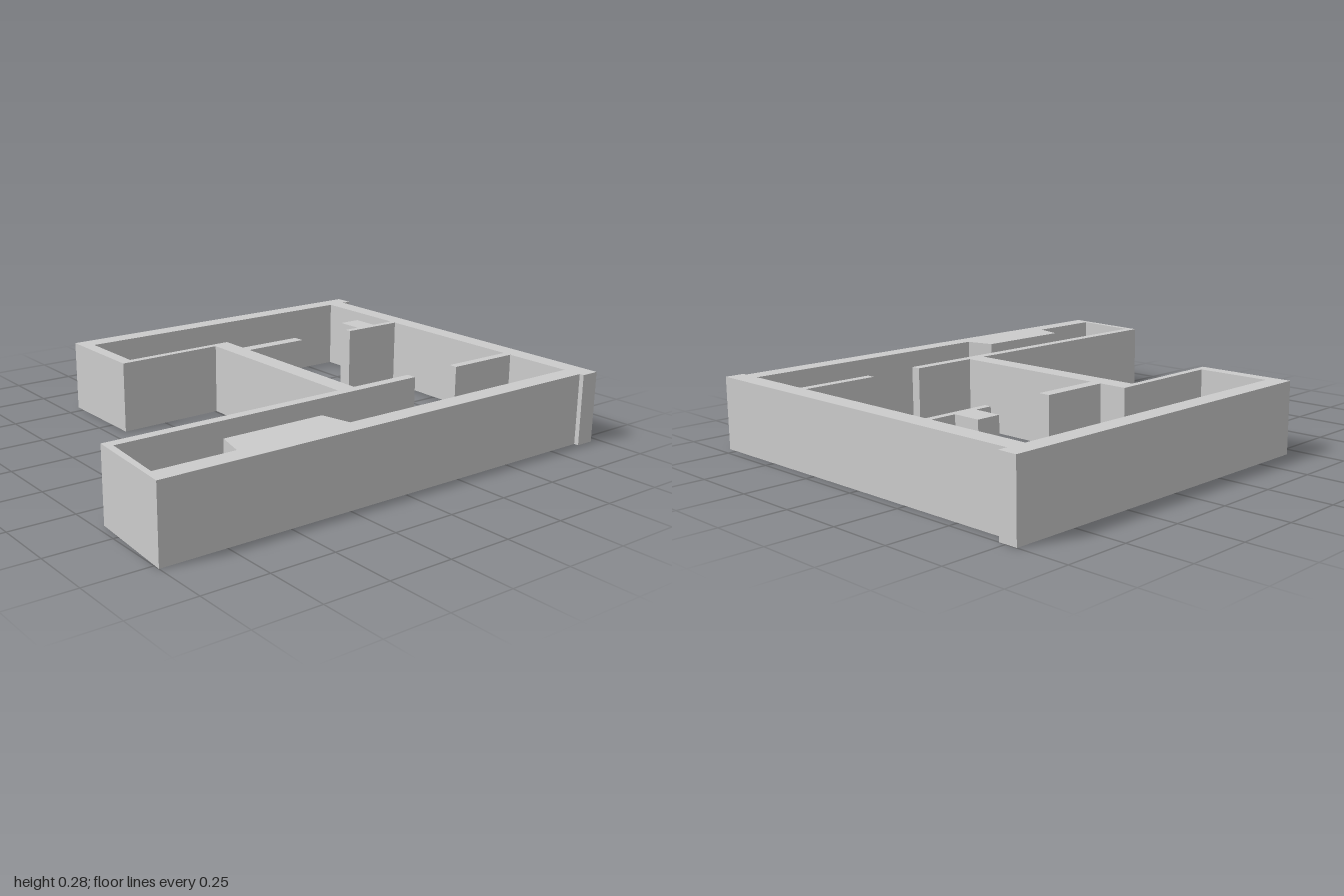
import * as THREE from 'three';

const HEIGHT = 0.283;
const material = new THREE.MeshStandardMaterial({ color: 0xcccccc, flatShading: true });

// Plan points are [x, z]; shapes are drawn with y = -z and stood upright.
const toPoints = (plan) => plan.map(([x, z]) => new THREE.Vector2(x, -z));

function extrudePlan(name, outline, hole) {
  const shape = new THREE.Shape(toPoints(outline));
  if (hole) shape.holes.push(new THREE.Path(toPoints(hole)));
  const geometry = new THREE.ExtrudeGeometry(shape, { depth: HEIGHT, bevelEnabled: false });
  geometry.rotateX(-Math.PI / 2);
  const mesh = new THREE.Mesh(geometry, material);
  mesh.name = name;
  return mesh;
}

function block(name, x0, x1, z0, z1) {
  return extrudePlan(name, [[x0, z0], [x1, z0], [x1, z1], [x0, z1]]);
}

export function createModel() {
  const group = new THREE.Group();
  group.name = 'floorPlanWalls';

  // Continuous perimeter wall, with small projections at both back corners
  const outside = [
    [-0.796, -1], [-0.721, -1], [-0.721, -0.963], [0.796, -0.963], [0.796, -0.887],
    [0.777, -0.887], [0.777, 1], [0.392, 0.972], [0.392, -0.007], [-0.402, -0.007],
    [-0.395, 0.437], [-0.796, 0.437],
  ];
  // Room side, listed the opposite way round so its faces look into the rooms
  const inside = [
    [-0.721, 0.388], [-0.426, 0.388], [-0.431, -0.084], [0.392, -0.084], [0.392, -0.354],
    [0.432, -0.354], [0.432, 0.948], [0.702, 0.972], [0.702, -0.887], [-0.721, -0.887],
  ];
  group.add(extrudePlan('perimeterWall', outside, inside));

  // Short partitions that leave door openings
  group.add(
    block('backRightPartition', -0.296, -0.268, -0.887, -0.623),
    block('backLeftPartition', 0.388, 0.423, -0.887, -0.58),
    block('middlePartition', -0.316, -0.268, -0.359, -0.084),
  );

  // Pier against the back partition
  group.add(block('pier', -0.406, -0.296, -0.784, -0.69));

  // Chimney breast with splayed sides
  group.add(extrudePlan('chimneyBreast', [
    [0.702, 0.196], [0.702, 0.66], [0.586, 0.631], [0.586, 0.224],
  ]));

  return group;
}
